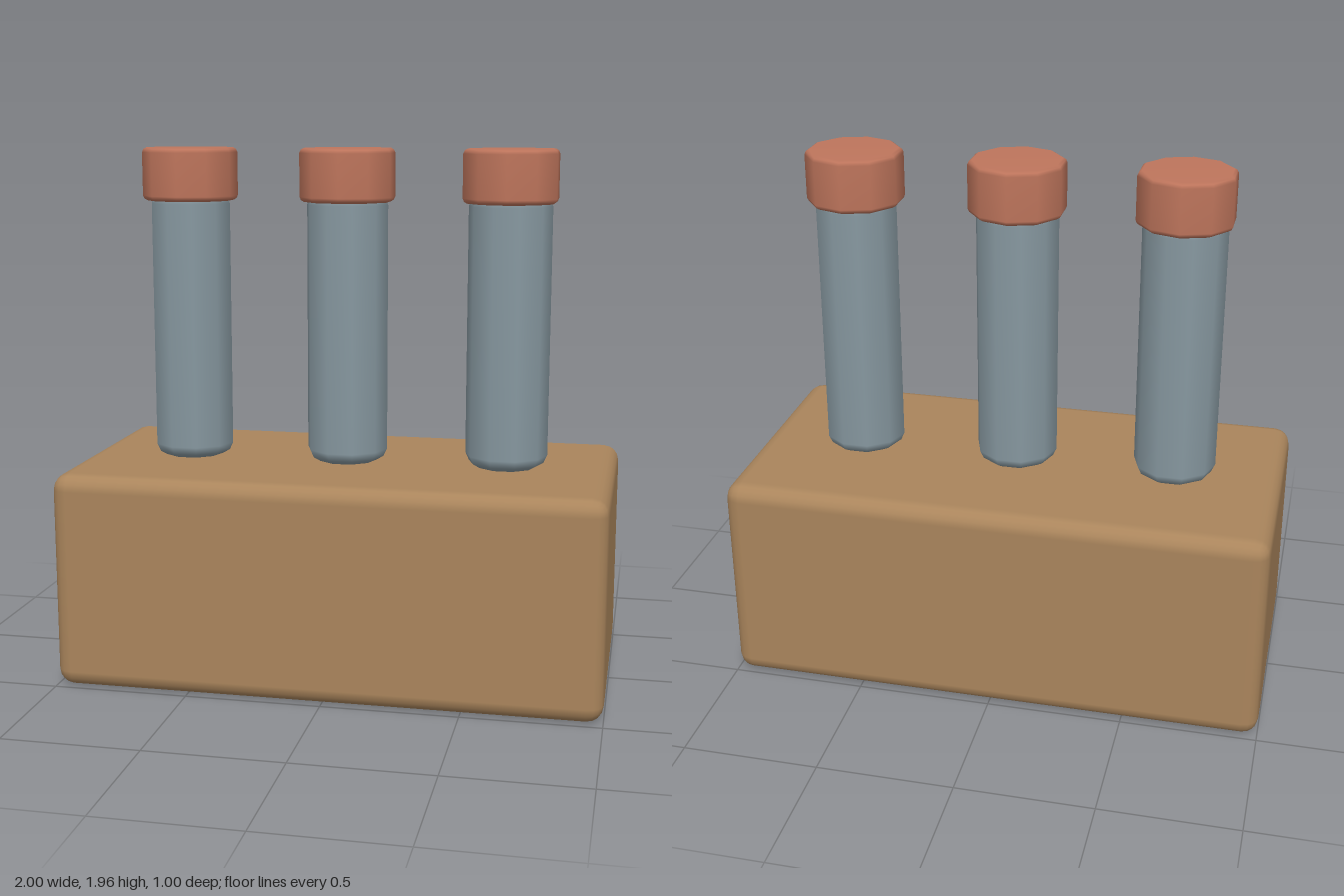
import * as THREE from 'three';
import { RoundedBoxGeometry } from 'three/addons/geometries/RoundedBoxGeometry.js';

// Ten-sided solid with softened rims between two heights
function softCylinder(radius, bottom, top, bevel) {
  const b = bevel, points = [
    [0, bottom], [radius - b * 0.9, bottom], [radius - b * 0.3, bottom + b * 0.35],
    [radius, bottom + b], [radius, top - b],
    [radius - b * 0.3, top - b * 0.35], [radius - b * 0.9, top], [0, top],
  ].map(([x, y]) => new THREE.Vector2(x, y));
  return new THREE.LatheGeometry(points, 10);
}

export function createModel() {
  const group = new THREE.Group();
  const wood = new THREE.MeshStandardMaterial({ name: 'wood brown', color: 0xaa855c });
  const glass = new THREE.MeshStandardMaterial({ name: 'blue grey', color: 0x8798a0 });
  const clay = new THREE.MeshStandardMaterial({ name: 'clay red', color: 0xbe755c });

  const add = (name, geometry, material, x, y) => {
    const mesh = new THREE.Mesh(geometry, material);
    mesh.name = name;
    mesh.position.set(x, y, 0);
    group.add(mesh);
  };

  // Block that holds the tubes
  add('rackBlock', new RoundedBoxGeometry(2, 0.8, 1, 2, 0.06), wood, 0, 0.4);

  // Three capped tubes in a row; tube facets are turned half a step from the caps
  const tube = softCylinder(0.152, 0.8, 1.8, 0.045).rotateY(Math.PI / 10);
  const cap = softCylinder(0.177, 1.765, 1.96, 0.018);
  ['right', 'middle', 'left'].forEach((side, i) => {
    const x = (i - 1) * 0.6;
    add(side + 'Tube', tube, glass, x, 0);
    add(side + 'Cap', cap, clay, x, 0);
  });
  return group;
}
